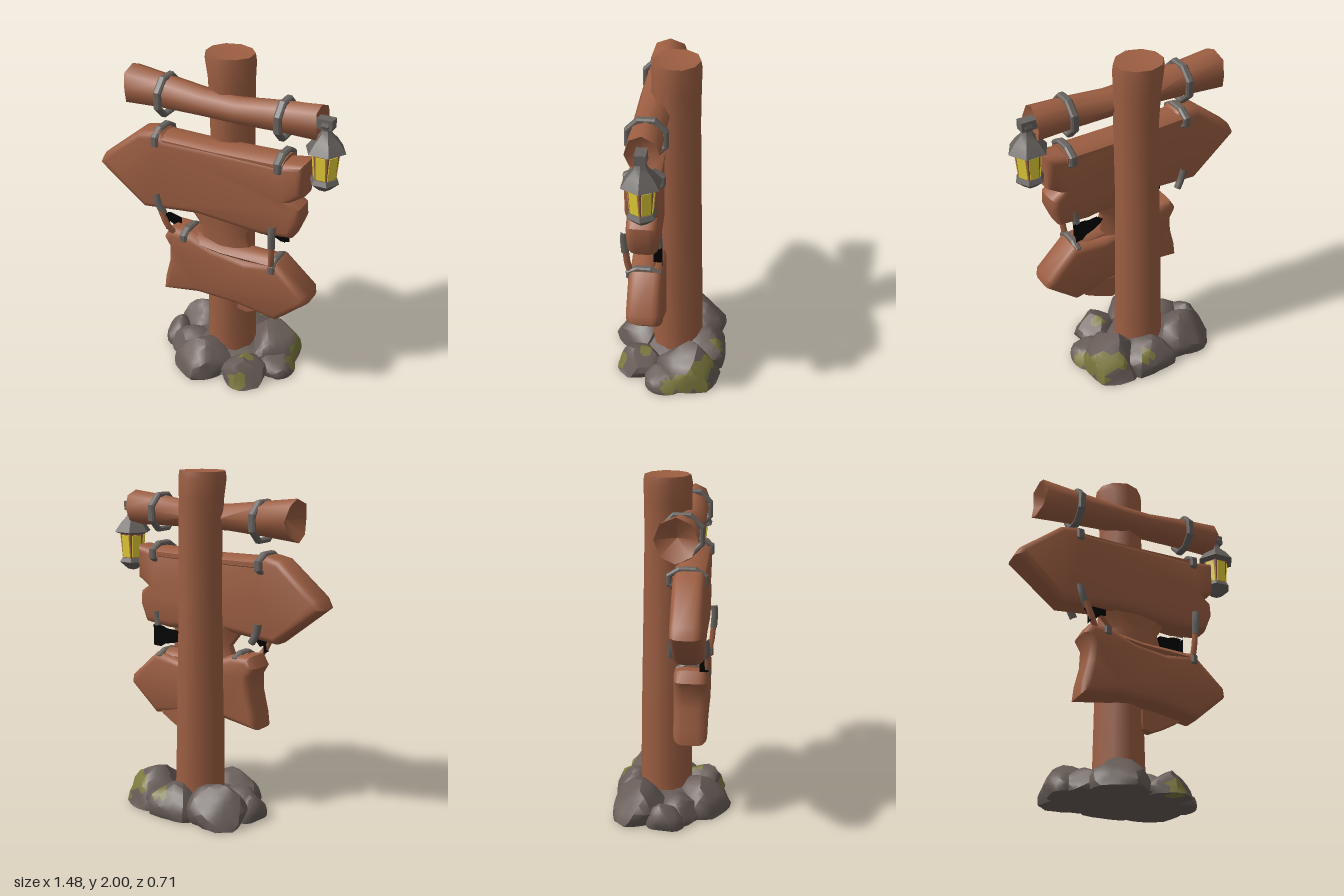
import * as THREE from 'three';
import { toCreasedNormals, mergeVertices } from 'three/addons/utils/BufferGeometryUtils.js';

const mat = (name, color, side = THREE.FrontSide) => {
  const m = new THREE.MeshStandardMaterial({ color, side });
  m.name = name;
  return m;
};

export function createModel() {
  const wood = mat('wood', 0x9c5e42);
  const stone = mat('stone', 0x675c57);
  const moss = mat('moss', 0x7c783f);
  const metal = mat('iron', 0x68635f);
  const glow = mat('lamp glass', 0xecd63a);
  const black = mat('black cloth', 0x000000, THREE.DoubleSide);

  const root = new THREE.Group();
  root.name = 'signpost';
  let seed = 7;
  const rand = () => (seed = (seed * 16807) % 2147483647) / 2147483647;
  const add = (name, geo, material, parent = root) => {
    const m = new THREE.Mesh(geo, material);
    m.name = name;
    parent.add(m);
    return m;
  };

  // Skin over rings running along 'x' or 'y'; ring = [along, c1, c2, r1, r2].
  // c1/r1 are y (axis x) or z (axis y); c2/r2 are z (axis x) or x (axis y).
  function loft(axis, rings, sides, { rough = 0, endRough = 0, dent = [0, 0], notch = 0 } = {}) {
    const pos = [], idx = [], last = rings.length - 1;
    const put = (a, u, v) => (axis === 'x' ? pos.push(a, u, v) : pos.push(v, a, u));
    const wobble = Array.from({ length: sides }, () => 1 - rand() * rough);
    rings.forEach(([a, c1, c2, r1, r2], i) => {
      for (let j = 0; j < sides; j++) {
        const t = (j / sides) * Math.PI * 2;
        let slip = i === 0 || i === last ? (rand() - 0.5) * endRough : 0;
        if (i === 0) slip += notch * Math.max(0, 1 - 1.6 * Math.abs(Math.cos(t)));
        put(a + slip, c1 + Math.cos(t) * r1 * wobble[j], c2 + Math.sin(t) * r2 * wobble[j]);
      }
    });
    put(rings[0][0] + dent[0], rings[0][1], rings[0][2]);
    put(rings[last][0] - dent[1], rings[last][1], rings[last][2]);
    const s = rings.length * sides;
    for (let j = 0; j < sides; j++) {
      const k = (j + 1) % sides;
      for (let i = 0; i < last; i++) {
        const a = i * sides + j, b = i * sides + k;
        idx.push(a, b, a + sides, b, b + sides, a + sides);
      }
      idx.push(s, k, j, s + 1, last * sides + j, last * sides + k);
    }
    const g = new THREE.BufferGeometry();
    g.setAttribute('position', new THREE.Float32BufferAttribute(pos, 3));
    g.setIndex(idx);
    return toCreasedNormals(g, 0.9);
  }

  const polygon = (points) => new THREE.Shape(points.map((p) => new THREE.Vector2(...p)));

  // Thick board with worn, rounded edges; skew turns it slightly about the post.
  function board(name, points, back, front, skew) {
    const b = 0.05;
    const g = new THREE.ExtrudeGeometry(polygon(points), {
      depth: front - back - 2 * b, bevelThickness: b, bevelSize: 0.04, bevelOffset: -0.04, bevelSegments: 3,
    });
    g.translate(0, 0, back + b);
    const p = g.attributes.position;
    for (let i = 0; i < p.count; i++) p.setZ(i, p.getZ(i) + skew * p.getX(i));
    return add(name, toCreasedNormals(g, 0.8), wood);
  }

  // Iron hoop standing across the x axis
  function hoop(name, x, y, z, ry, rz, width = 0.045) {
    const loop = (Kind, k) => {
      const s = new Kind();
      for (let i = 0; i < 8; i++) {
        const t = ((i + 0.5) / 8) * Math.PI * 2;
        s[i ? 'lineTo' : 'moveTo']((rz - k) * 1.08 * Math.cos(t), (ry - k) * 1.08 * Math.sin(t));
      }
      s.closePath();
      return s;
    };
    const shape = loop(THREE.Shape, 0);
    shape.holes.push(loop(THREE.Path, 0.028));
    const g = new THREE.ExtrudeGeometry(shape, { depth: width - 0.02, bevelThickness: 0.01, bevelSize: 0.008, bevelOffset: -0.008, bevelSegments: 1 });
    g.translate(0, 0, -width / 2 + 0.01).rotateY(Math.PI / 2);
    add(name, g, metal).position.set(x, y, z);
  }

  const strap = (name, pts, r, material) =>
    add(name, new THREE.TubeGeometry(new THREE.CatmullRomCurve3(pts.map((p) => new THREE.Vector3(...p))), 8, r, 6), material);

  // Post
  add('post', loft('y', [
    [0.04, -0.03, 0.006, 0.16, 0.158], [0.2, -0.03, 0.006, 0.157, 0.152], [0.6, -0.027, 0.004, 0.153, 0.143],
    [1.2, -0.022, 0.008, 0.144, 0.13], [1.65, -0.018, 0.012, 0.138, 0.13], [1.85, -0.018, 0.004, 0.138, 0.136],
    [1.96, -0.018, -0.003, 0.14, 0.148], [2, -0.018, -0.003, 0.132, 0.142],
  ], 10, { rough: 0.04, dent: [0, 0.02] }), wood);

  // Crossbar log with a split end
  add('crossbar', loft('x', [
    [-0.575, 1.75, 0.085, 0.122, 0.12], [-0.35, 1.745, 0.09, 0.1, 0.107], [-0.1, 1.735, 0.1, 0.078, 0.1],
    [0.12, 1.73, 0.1, 0.075, 0.097], [0.38, 1.745, 0.095, 0.092, 0.097], [0.59, 1.75, 0.09, 0.106, 0.095],
  ], 8, { rough: 0.06, endRough: 0.02, dent: [0.08, 0.05], notch: 0.015 }), wood);

  // Upper arrow board, pointing right, hung from a rail
  board('upperBoard', [
    [-0.74, 1.27], [-0.71, 1.33], [-0.47, 1.525], [-0.34, 1.55], [-0.3, 1.51], [0.4, 1.51], [0.54, 1.53], [0.54, 1.33],
    [0.47, 1.285], [0.52, 1.25], [0.525, 1.17], [0.48, 1.06], [0.3, 1.04], [-0.1, 1.075], [-0.45, 1.04],
  ], 0.04, 0.215, -0.03);
  add('upperRail', loft('x', [
    [-0.37, 1.49, 0.13, 0.045, 0.095], [0, 1.485, 0.12, 0.04, 0.095], [0.42, 1.49, 0.11, 0.045, 0.095],
  ], 10, { rough: 0.06 }), wood);

  // Lower arrow board, pointing left, with its rail
  board('lowerBoard', [
    [-0.33, 0.51], [-0.1, 0.545], [0.15, 0.535], [0.4, 0.49], [0.59, 0.655], [0.585, 0.71], [0.4, 0.88], [0.2, 0.85],
    [0, 0.88], [-0.15, 0.94], [-0.28, 0.945], [-0.32, 0.88], [-0.285, 0.82], [-0.29, 0.72], [-0.32, 0.6],
  ], 0.03, 0.225, -0.04);
  add('lowerRail', loft('x', [
    [-0.22, 0.91, 0.15, 0.04, 0.075], [0.05, 0.87, 0.145, 0.035, 0.075], [0.38, 0.86, 0.13, 0.04, 0.07],
  ], 8, { rough: 0.06 }), wood);

  // Block joining the boards, and wedge behind the lower one
  add('joiningBlock', loft('y', [
    [0.85, 0.11, 0.02, 0.075, 0.2], [0.98, 0.115, 0.03, 0.07, 0.15], [1.1, 0.11, 0.02, 0.08, 0.24],
  ], 10), wood);
  const wedge = polygon([[0.1, 0.42], [0.16, 0.41], [0.26, 0.455], [0.34, 0.5], [0.38, 0.56], [0.1, 0.56]]);
  add('wedge', new THREE.ExtrudeGeometry(wedge, { depth: 0.06, bevelEnabled: false }).translate(0, 0, 0.025), wood);

  // Iron hoops and hanging straps
  hoop('crossbarHoop', -0.34, 1.73, 0.095, 0.12, 0.122);
  hoop('crossbarHoop', 0.385, 1.735, 0.095, 0.115, 0.115);
  hoop('upperHoop', -0.355, 1.49, 0.125, 0.07, 0.113);
  hoop('upperHoop', 0.395, 1.49, 0.108, 0.07, 0.113);
  hoop('lowerHoop', -0.18, 0.91, 0.145, 0.05, 0.098);
  hoop('lowerHoop', 0.375, 0.845, 0.125, 0.055, 0.1, 0.04);
  for (const [z, low] of [[0.035, 1.05], [0.225, 1]]) {
    strap('leftStrap', [[0.385, 1.14, z], [0.382, 1.09, z + 0.005], [0.38, low, z]], 0.023, metal);
    strap('rightStrap', [[-0.355, 1.16, z], [-0.34, 1.1, z + 0.005], [-0.31, 1.04, z]], 0.022, metal);
  }
  strap('leftCord', [[0.38, 1.0, 0.222], [0.375, 0.92, 0.215], [0.37, 0.85, 0.2]], 0.019, wood);
  strap('rightCord', [[-0.32, 1.06, 0.236], [-0.28, 0.97, 0.232], [-0.24, 0.9, 0.2]], 0.018, wood);

  // Torn cloth in the gaps between the boards: x, y outline, hung at an angle
  const cloth = (pts, x, z, turn) => {
    const g = new THREE.ShapeGeometry(polygon(pts)).translate(-x, 0, 0).rotateY(turn);
    add('tornCloth', g.translate(x, 0, z), black);
  };
  cloth([[0.19, 0.995], [0.24, 1.035], [0.3, 1.04], [0.34, 1.055], [0.4, 1.06], [0.4, 0.93], [0.35, 0.925], [0.32, 0.945], [0.26, 0.955], [0.21, 0.975]], 0.3, 0.035, 0.2);
  cloth([[-0.32, 1.03], [-0.27, 1.05], [-0.19, 1.04], [-0.19, 1.0], [-0.22, 1.0], [-0.25, 0.975], [-0.29, 0.99]], -0.25, 0.212, -0.15);
  for (const [x, z] of [[0.385, 0.04], [-0.29, 0.215]]) {
    const side = add('tornClothSide', new THREE.PlaneGeometry(0.05, 0.09), black);
    side.rotation.y = Math.PI / 2;
    side.position.set(x, 0.99, z);
  }

  // Lantern: iron arm, roof, lit body, foot
  const lantern = new THREE.Group();
  lantern.name = 'lantern';
  lantern.position.set(0.62, 0, 0.09);
  root.add(lantern);
  const turned = (name, profile, material) => {
    const g = new THREE.LatheGeometry(profile.map((p) => new THREE.Vector2(...p)), 6, Math.PI / 2);
    return add(name, toCreasedNormals(g, 0.5), material, lantern);
  };
  add('lanternArm', new THREE.BoxGeometry(0.09, 0.055, 0.06), metal, lantern).position.set(-0.005, 1.755, 0);
  turned('lanternRoof', [[0, 1.575], [0.075, 1.585], [0.115, 1.6], [0.075, 1.655], [0.04, 1.69], [0.028, 1.72], [0.042, 1.745], [0.03, 1.78], [0, 1.787]], metal);
  turned('lanternBody', [[0, 1.42], [0.062, 1.42], [0.08, 1.6], [0, 1.6]], wood);
  turned('lanternFoot', [[0, 1.36], [0.035, 1.37], [0.085, 1.415], [0.07, 1.44], [0, 1.44]], metal);
  for (let i = 0; i < 6; i++) {
    const pane = new THREE.Group();
    pane.name = 'lanternPane';
    pane.rotation.y = (i / 6) * Math.PI * 2;
    lantern.add(pane);
    const glass = add('glass', new THREE.BoxGeometry(0.054, 0.135, 0.008), glow, pane);
    glass.position.set(0, 1.512, 0.0625);
    glass.rotation.x = 0.085;
  }

  // Chiselled rocks, broad at the foot: centre, radii; faces near a moss spot (centre, radius) are mossy
  const mossSpots = [
    [0.35, 0.12, -0.2, 0.075], [0.4, 0.07, -0.12, 0.065], [0.28, 0.15, -0.26, 0.055], [0.4, 0.06, -0.22, 0.055],
    [0.1, 0.15, -0.29, 0.05], [0.2, 0.04, 0.27, 0.06], [0.42, 0.05, -0.02, 0.05], [0.2, 0.15, 0.14, 0.045],
  ];
  const rocks = [
    [-0.07, 0.03, 0.19, 0.17, 0.145, 0.16], [0.19, 0.02, 0.18, 0.14, 0.125, 0.13], [-0.34, 0.02, 0.0, 0.08, 0.12, 0.1],
    [-0.22, 0.04, -0.15, 0.17, 0.17, 0.17], [0.07, 0.03, -0.19, 0.19, 0.15, 0.17], [0.26, 0.04, -0.12, 0.17, 0.18, 0.19],
    [0.33, 0.02, 0.01, 0.11, 0.09, 0.12], [-0.2, 0.03, 0.08, 0.14, 0.11, 0.12], [0, 0.03, -0.02, 0.3, 0.1, 0.24],
  ];
  for (const [x, y, z, rx, ry, rz] of rocks) {
    let g = new THREE.IcosahedronGeometry(1, 3);
    g.deleteAttribute('normal');
    g.deleteAttribute('uv');
    g = mergeVertices(g, 1e-3);
    const cuts = Array.from({ length: 14 }, () =>
      new THREE.Vector3(rand() - 0.5, (rand() - 0.3) * 0.8, rand() - 0.5).normalize().multiplyScalar(1 / (0.84 + rand() * 0.14)));
    const p = g.attributes.position, v = new THREE.Vector3();
    for (let i = 0; i < p.count; i++) {
      v.fromBufferAttribute(p, i);
      v.divideScalar(Math.max(0.88, ...cuts.map((c) => c.dot(v))));
      p.setXYZ(i, x + v.x * rx, Math.max(0, y + v.y * ry), z + v.z * rz);
    }
    g = toCreasedNormals(g, 0.6);
    const q = g.attributes.position;
    for (let i = 0; i < q.count; i += 3) {
      const mid = new THREE.Vector3();
      for (let j = 0; j < 3; j++) mid.add(v.fromBufferAttribute(q, i + j).divideScalar(3));
      const mossy = mossSpots.some(([a, b, c, r]) => mid.distanceTo(v.set(a, b, c)) < r);
      g.addGroup(i, 3, mossy ? 1 : 0);
    }
    add('rock', g, [stone, moss]);
  }
  return root;
}
